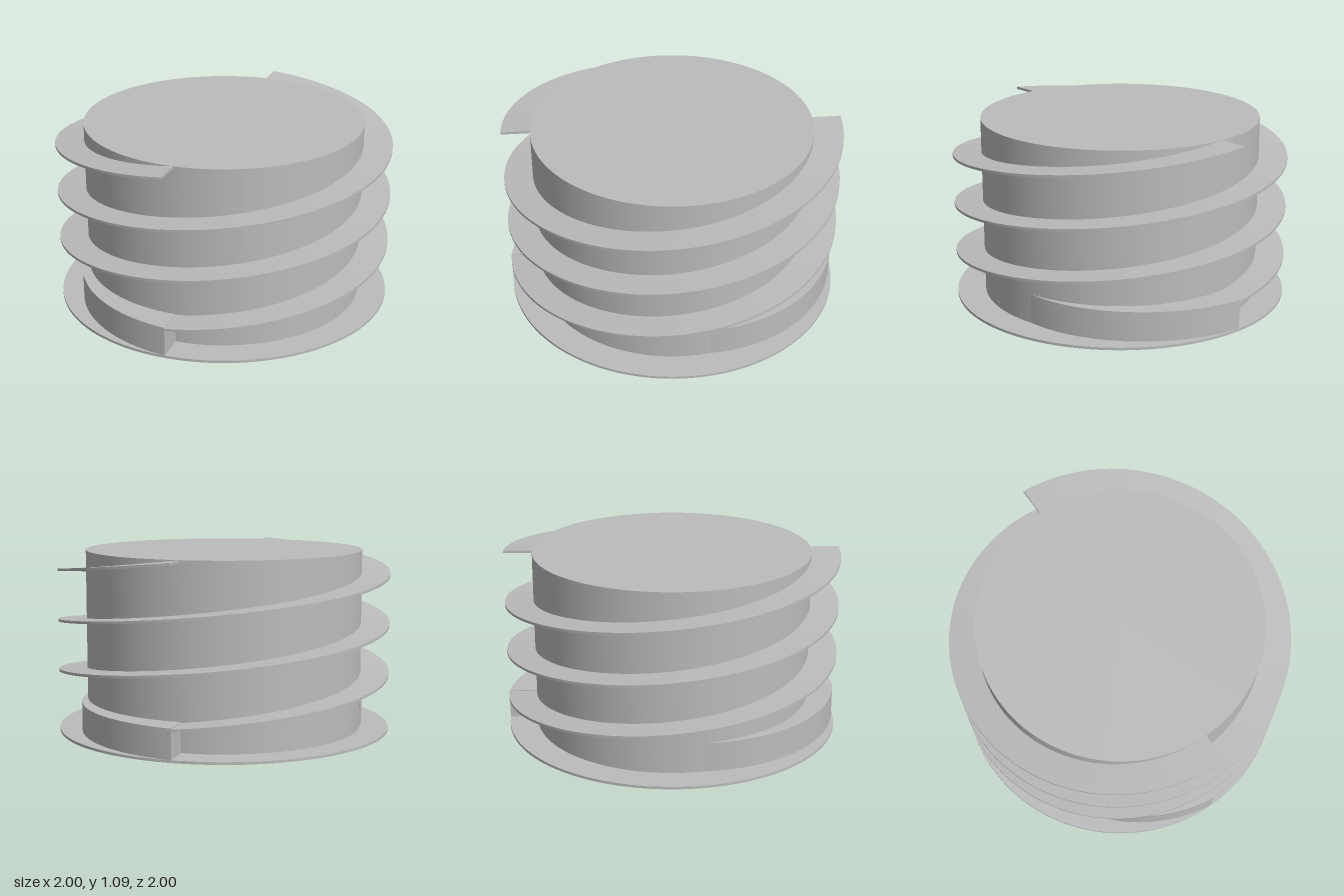
import * as THREE from 'three';
import { mergeGeometries } from 'three/addons/utils/BufferGeometryUtils.js';

const CORE_R = 0.83, RIM_R = 1, BASE_H = 0.015, TOP = 1.085;
const FIN_START = 0.185, FIN_T = 0.015, COLLAR_H = 0.19, RECESS = 0.18;
const START = -26; // angle in degrees from +z towards +x where a thread begins
const rad = THREE.MathUtils.degToRad;

const polar = (deg, r, y) => new THREE.Vector3(r * Math.sin(rad(deg)), y, r * Math.cos(rad(deg)));

// Ruled surface between two curves a(t) and b(t)
function ruled(a, b, n) {
  const pos = [], idx = [];
  for (let i = 0; i <= n; i++) {
    pos.push(...a(i / n).toArray(), ...b(i / n).toArray());
    if (i < n) {
      const k = i * 2;
      idx.push(k, k + 2, k + 1, k + 1, k + 2, k + 3);
    }
  }
  const g = new THREE.BufferGeometry();
  g.setAttribute('position', new THREE.Float32BufferAttribute(pos, 3));
  g.setIndex(idx);
  g.computeVertexNormals();
  return g;
}

// Ring-shaped surface between two radius/height pairs
const ring = (r0, y0, r1, y1) =>
  ruled(t => polar(t * 360, r0, y0), t => polar(t * 360, r1, y1), 128);

export function createModel() {
  const model = new THREE.Group();
  const grey = new THREE.MeshStandardMaterial({ color: 0xbcbcbc, side: THREE.DoubleSide });
  grey.name = 'plain grey';

  const add = (parent, name, geometries) => {
    const mesh = new THREE.Mesh(mergeGeometries(geometries), grey);
    mesh.name = name;
    parent.add(mesh);
  };

  // Mouth outline of one recess under the base, as (x, z) points
  const lead = new THREE.SplineCurve([
    [-0.012, 0.009], [-0.18, 0.135], [-0.37, 0.28], [-0.46, 0.42],
    [-0.47, 0.55], [-0.43, 0.66], [-0.364, 0.746],
  ].map(p => new THREE.Vector2(...p)));
  const mouth = lead.getPoints(30);
  for (let i = 1; i <= 48; i++) {
    const p = polar(START + (80 - START) * i / 48, CORE_R, 0);
    mouth.push(new THREE.Vector2(p.x, p.z));
  }
  const last = mouth.length - 1;
  const innerEnd = polar(80, 0.015, 0);
  const outline = [...mouth, new THREE.Vector2(innerEnd.x, innerEnd.z)];

  // Core with a closed flat top
  add(model, 'core', [
    ring(CORE_R, BASE_H, CORE_R, TOP),
    ring(CORE_R, TOP, 0, TOP),
  ]);

  // Base plate with two open mouths on its underside
  const disc = new THREE.Shape();
  disc.absarc(0, 0, RIM_R, 0, Math.PI * 2);
  for (const s of [1, -1]) {
    disc.holes.push(new THREE.Path(outline.map(p => p.clone().multiplyScalar(s))));
  }
  add(model, 'baseUnderside', [new THREE.ShapeGeometry(disc, 128).rotateX(Math.PI / 2)]);
  add(model, 'baseRim', [
    ring(RIM_R, 0, RIM_R, BASE_H),
    ring(RIM_R, BASE_H, CORE_R, BASE_H),
  ]);

  // Two identical starts, half a turn apart
  for (const turn of [0, Math.PI]) {
    const side = new THREE.Group();
    side.name = turn ? 'secondStart' : 'firstStart';
    side.rotation.y = turn;
    model.add(side);

    // Helical thread, one and a half turns
    const helix = (r, drop) => t =>
      polar(START + 540 * t, r, FIN_START + (TOP - FIN_START) * t - drop);
    const IN = CORE_R - 0.005;
    const cap = t => ruled(
      s => helix(THREE.MathUtils.lerp(IN, RIM_R, s), 0)(t),
      s => helix(THREE.MathUtils.lerp(IN, RIM_R, s), FIN_T)(t), 1);
    add(side, 'thread', [
      ruled(helix(RIM_R, 0), helix(IN, 0), 192),
      ruled(helix(IN, FIN_T), helix(RIM_R, FIN_T), 192),
      ruled(helix(RIM_R, FIN_T), helix(RIM_R, 0), 192),
      cap(0), cap(1),
    ]);

    // Collar that tapers from the rim into the core
    const spiral = y => t => polar(START - 80 * t, RIM_R - (RIM_R - CORE_R) * t, y);
    add(side, 'collar', [
      ruled(spiral(COLLAR_H), spiral(BASE_H), 32),
      ruled(t => polar(START - 80 * t, CORE_R, COLLAR_H), spiral(COLLAR_H), 32),
      ruled(t => polar(START, CORE_R + (RIM_R - CORE_R) * t, BASE_H),
        t => polar(START, CORE_R + (RIM_R - CORE_R) * t, COLLAR_H), 1),
    ]);

    // Recess: ramped helical ceiling and upright wall
    const at = t => mouth[Math.round(t * last)];
    const height = p => {
      const deg = THREE.MathUtils.radToDeg(Math.atan2(p.x, p.y));
      return RECESS * THREE.MathUtils.clamp((80 - deg) / (80 - START), 0, 1);
    };
    const edge = t => new THREE.Vector3(at(t).x, height(at(t)), at(t).y);
    add(side, 'recessCeiling', [
      ruled(t => new THREE.Vector3(0, height(at(t)), 0), edge, last),
    ]);
    add(side, 'recessWall', [
      ruled(edge, t => new THREE.Vector3(at(t).x, 0, at(t).y), last),
    ]);
  }
  return model;
}
